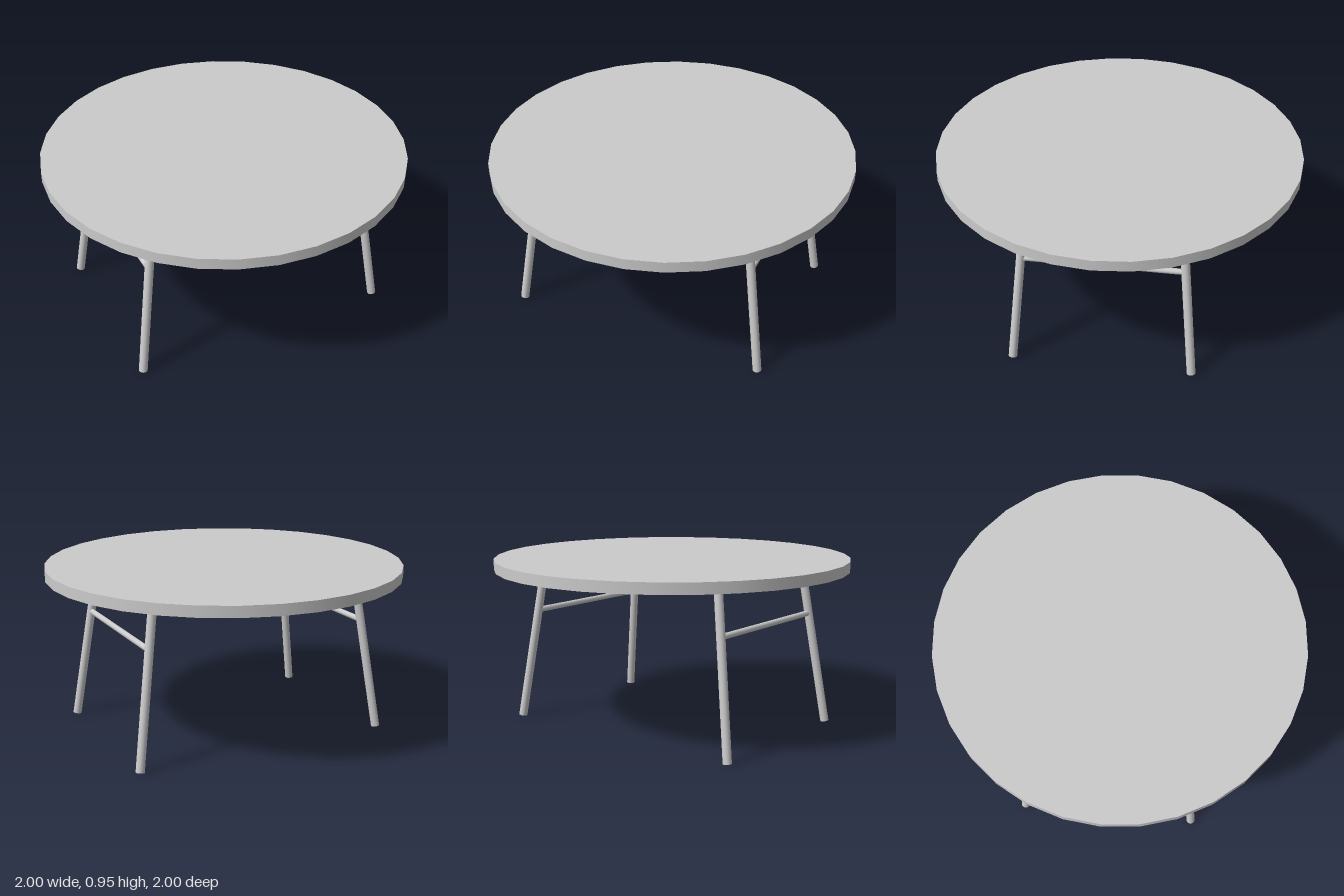
import * as THREE from 'three';

const TOP_Y = 0.955, UNDER_Y = 0.895;

export function createModel() {
  const table = new THREE.Group();
  table.name = 'roundTable';
  const material = new THREE.MeshStandardMaterial({ color: 0xcccccc });

  const add = (name, geometry) => {
    const mesh = new THREE.Mesh(geometry, material);
    mesh.name = name;
    table.add(mesh);
    return mesh;
  };

  // Round bar running between two points
  const bar = (name, from, to, radius, sides) => {
    const axis = to.clone().sub(from);
    const mesh = add(name, new THREE.CylinderGeometry(radius, radius, axis.length(), sides));
    mesh.position.copy(from).add(to).multiplyScalar(0.5);
    mesh.quaternion.setFromUnitVectors(new THREE.Vector3(0, 1, 0), axis.normalize());
  };

  // Tabletop disc
  const top = add('tabletop', new THREE.CylinderGeometry(1, 1, TOP_Y - UNDER_Y, 32));
  top.position.y = (TOP_Y + UNDER_Y) / 2;

  for (const [side, sx] of [['left', 1], ['right', -1]]) {
    // Splayed legs, meeting the underside of the tabletop
    const joints = [];
    for (const [end, sz] of [['Front', 1], ['Back', -1]]) {
      const foot = new THREE.Vector3(0.734 * sx, 0.005, 0.493 * sz);
      const head = new THREE.Vector3(0.606 * sx, 0.9, 0.407 * sz);
      bar(`${side}${end}Leg`, foot, head, 0.024, 16);
      joints.push(foot.clone().lerp(head, 0.706));
    }
    // Stretcher joining the front and back legs
    bar(`${side}Stretcher`, joints[0], joints[1], 0.016, 16);
  }

  return table;
}
